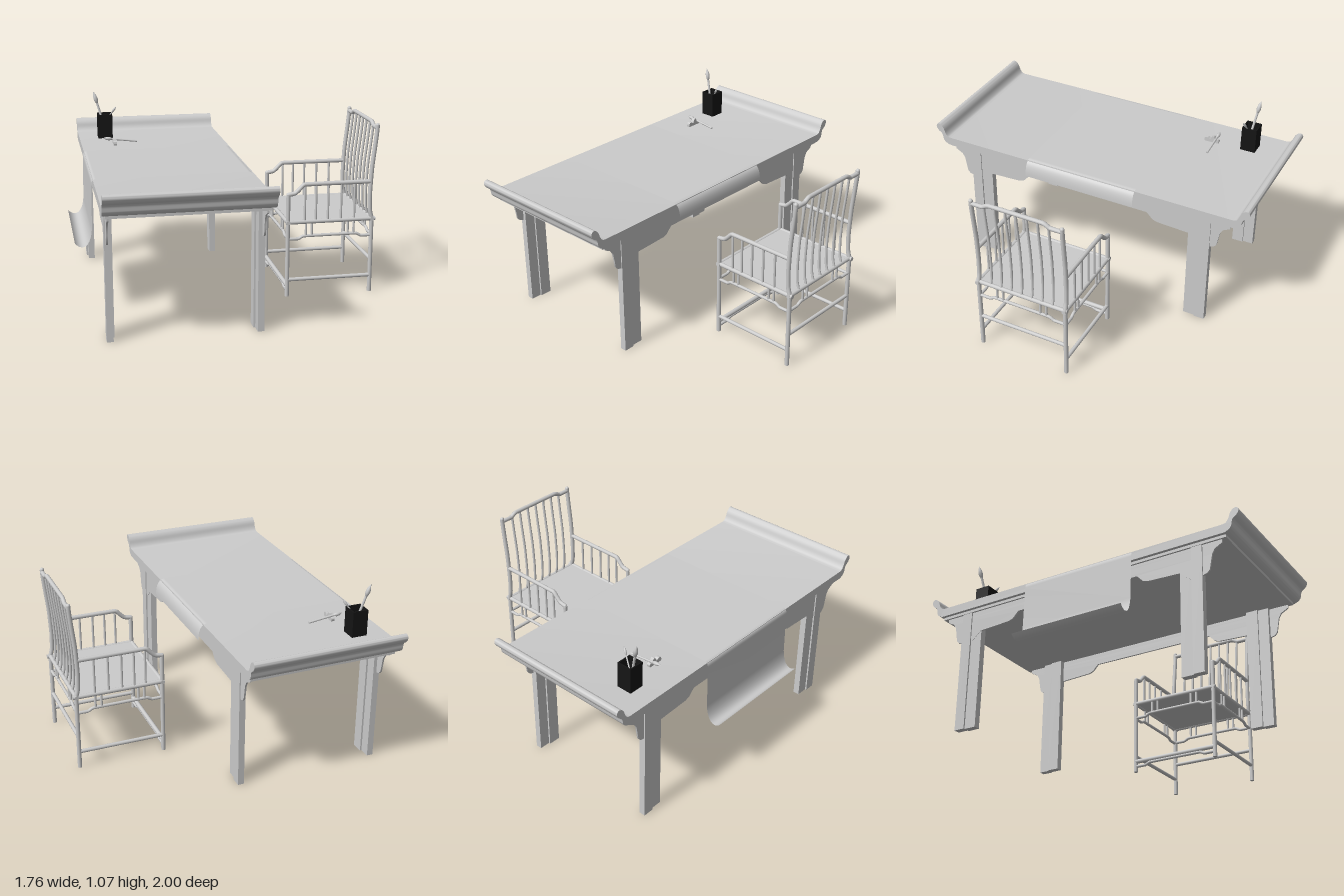
import * as THREE from 'three';
import { toCreasedNormals } from 'three/addons/utils/BufferGeometryUtils.js';

const grey = new THREE.MeshStandardMaterial({ color: 0xcccccc });
const greySheet = new THREE.MeshStandardMaterial({ color: 0xcccccc, side: THREE.DoubleSide });
const black = new THREE.MeshStandardMaterial({ color: 0x151515 });
const V = (x, y, z) => new THREE.Vector3(x, y, z);

function add(parent, name, geometry, material = grey) {
  const mesh = new THREE.Mesh(geometry, material);
  mesh.name = name;
  parent.add(mesh);
  return mesh;
}

// Box given by its min and max on each axis
function box(parent, name, x0, x1, y0, y1, z0, z1, material) {
  const g = new THREE.BoxGeometry(x1 - x0, y1 - y0, z1 - z0);
  g.translate((x0 + x1) / 2, (y0 + y1) / 2, (z0 + z1) / 2);
  return add(parent, name, g, material);
}

// Shape drawn in (z, y), extruded from x0 to x1
function slab(parent, name, shape, x0, x1) {
  let g = new THREE.ExtrudeGeometry(shape, { depth: x1 - x0, bevelEnabled: false, curveSegments: 8 });
  g.rotateY(-Math.PI / 2).translate(x1, 0, 0);
  return add(parent, name, toCreasedNormals(g, 0.7));
}

// Straight round bar, optionally tapered
function bar(parent, name, a, b, r0, r1 = r0) {
  const dir = b.clone().sub(a);
  const g = new THREE.CylinderGeometry(r1, r0, dir.length(), 12);
  g.applyQuaternion(new THREE.Quaternion().setFromUnitVectors(V(0, 1, 0), dir.normalize()));
  const c = a.clone().add(b).multiplyScalar(0.5);
  return add(parent, name, g.translate(c.x, c.y, c.z));
}

// Bent round bar with rounded ends
function bent(parent, name, pts, r, tension = 0.3) {
  const curve = new THREE.CatmullRomCurve3(pts, false, 'catmullrom', tension);
  const group = new THREE.Group();
  group.name = name;
  add(group, name + 'Tube', new THREE.TubeGeometry(curve, 48, r, 10));
  for (const p of [pts[0], pts[pts.length - 1]])
    add(group, name + 'End', new THREE.SphereGeometry(r, 10, 8).translate(p.x, p.y, p.z));
  parent.add(group);
}

function createTable() {
  const table = new THREE.Group();
  table.name = 'table';

  // Top with upturned scrolled ends
  const inner = [[0.905, 0.78], [0.925, 0.785], [0.94, 0.805], [0.95, 0.833], [0.965, 0.852], [0.983, 0.859],
    [0.997, 0.85], [0.998, 0.832], [0.985, 0.812], [0.966, 0.798], [0.959, 0.78], [0.955, 0.758], [0.942, 0.742], [0.918, 0.73]];
  const lip = new THREE.SplineCurve(inner.map(p => new THREE.Vector2(...p))).getPoints(40);
  const outline = [...lip, ...lip.map(p => new THREE.Vector2(-p.x, p.y)).reverse()];
  slab(table, 'tableTop', new THREE.Shape(outline), -0.773, 0.116);
  box(table, 'underTopPanel', -0.755, 0.097, 0.714, 0.732, -0.915, 0.915);

  // Long aprons with shaped brackets around the legs
  const half = [[0.89, 0.716], [0.888, 0.695], [0.87, 0.685], [0.845, 0.672], [0.83, 0.645], [0.822, 0.6],
    [0.815, 0.56], [0.8, 0.543], [0.77, 0.535], [0.7, 0.535], [0.645, 0.585], [0.45, 0.594],
    [0.42, 0.605], [0.402, 0.625], [0.385, 0.642]];
  const apron = new THREE.Shape([...half, ...half.map(([z, y]) => [-z, y]).reverse()].map(p => new THREE.Vector2(...p)));
  slab(table, 'leftApron', apron, 0.078, 0.088);
  slab(table, 'rightApron', apron, -0.745, -0.735);

  // Legs, each of two stepped halves
  for (const sx of [-1, 1]) for (const sz of [-1, 1]) {
    const leg = new THREE.Group();
    leg.name = 'tableLeg';
    const part = (a, b, c, d) => {
      const xs = [a, b].map(x => -0.329 + sx * (0.329 + x)).sort((p, q) => p - q);
      const zs = [c * sz, d * sz].sort((p, q) => p - q);
      box(leg, 'legHalf', xs[0], xs[1], 0, 0.716, zs[0], zs[1]);
    };
    part(0.048, 0.085, 0.642, 0.712);
    part(0.058, 0.094, 0.712, 0.775);
    table.add(leg);
  }

  // Cloth runner: thin sheet draped over both long sides
  const path = new THREE.Path();
  path.moveTo(-0.88, 0.425);
  path.bezierCurveTo(-0.85, 0.385, -0.795, 0.385, -0.785, 0.5);
  path.lineTo(-0.78, 0.75);
  path.quadraticCurveTo(-0.78, 0.784, -0.755, 0.784);
  path.lineTo(0.09, 0.784);
  path.quadraticCurveTo(0.143, 0.784, 0.145, 0.69);
  const pts = path.getPoints(12);
  const g = new THREE.PlaneGeometry(1, 1, pts.length - 1, 1);
  const pos = g.attributes.position;
  for (let i = 0; i < pos.count; i++) {
    const p = pts[i % pts.length];
    pos.setXYZ(i, p.x, p.y, i < pts.length ? -0.318 : 0.371);
  }
  g.computeVertexNormals();
  add(table, 'runner', g, greySheet);
  return table;
}

// Writing brush from handle end to tip
function brush(parent, name, tail, tip, r) {
  const at = t => tail.clone().lerp(tip, t);
  bar(parent, name + 'Handle', tail, at(0.75), r);
  const len = tail.distanceTo(tip) * 0.27;
  const profile = [[0, 0], [r, 0], [r * 1.9, len * 0.3], [r * 1.6, len * 0.6], [0, len]].map(p => new THREE.Vector2(...p));
  const g = new THREE.LatheGeometry(profile, 12);
  g.applyQuaternion(new THREE.Quaternion().setFromUnitVectors(V(0, 1, 0), tip.clone().sub(tail).normalize()));
  const c = at(0.73);
  add(parent, name + 'Head', g.translate(c.x, c.y, c.z));
}

function createDeskItems() {
  const items = new THREE.Group();
  items.name = 'deskItems';
  // Square brush pot, open at the top
  const [x0, x1, z0, z1, w] = [-0.655, -0.565, -0.776, -0.686, 0.007];
  box(items, 'potFloor', x0, x1, 0.78, 0.79, z0, z1, black);
  box(items, 'potWall', x0, x0 + w, 0.78, 0.93, z0, z1, black);
  box(items, 'potWall', x1 - w, x1, 0.78, 0.93, z0, z1, black);
  box(items, 'potWall', x0, x1, 0.78, 0.93, z0, z0 + w, black);
  box(items, 'potWall', x0, x1, 0.78, 0.93, z1 - w, z1, black);
  brush(items, 'tallBrush', V(-0.6, 0.8, -0.715), V(-0.675, 1.07, -0.752), 0.007);
  brush(items, 'smallBrush', V(-0.64, 0.83, -0.745), V(-0.537, 0.98, -0.698), 0.004);

  // Peaked brush rest with a brush lying on it
  const rest = new THREE.Shape();
  rest.moveTo(-0.548, 0.78);
  rest.splineThru([[-0.55, 0.795], [-0.54, 0.803], [-0.53, 0.797], [-0.523, 0.815], [-0.513, 0.822], [-0.503, 0.812],
    [-0.495, 0.798], [-0.482, 0.806], [-0.465, 0.804], [-0.46, 0.79], [-0.462, 0.78]].map(p => new THREE.Vector2(...p)));
  slab(items, 'brushRest', rest, -0.58, -0.56);
  brush(items, 'lyingBrush', V(-0.43, 0.788, -0.53), V(-0.64, 0.814, -0.53), 0.006);
  return items;
}

function createChair() {
  const chair = new THREE.Group();
  chair.name = 'chair';
  const [xf, xb, zs, r] = [0.345, 0.847, 0.27, 0.0125];
  // Back leans along this curve
  const lean = [[0.847, 0.45], [0.835, 0.5], [0.832, 0.6], [0.839, 0.75], [0.853, 0.88], [0.862, 0.97]];

  for (const s of [-1, 1]) {
    const z = s * zs;
    bar(chair, 'frontLeg', V(xf, 0, z), V(xf, 0.61, z), r);
    bar(chair, 'backLeg', V(xb, 0, z), V(xb, 0.45, z), r);
    bent(chair, 'backPost', [...lean.map(([x, y]) => V(x, y, z)), V(0.863, 0.998, z)], r);
    bent(chair, 'armRail', [V(xf, 0.612, z), V(0.385, 0.62, z), V(0.41, 0.642, z), V(0.435, 0.667, z),
      V(0.47, 0.67, z), V(0.83, 0.67, z)], r);
    for (const x of [0.444, 0.51, 0.582, 0.66, 0.74])
      bar(chair, 'armSpindle', V(x, 0.45, z), V(x, 0.67, z), 0.007);
    bar(chair, 'sideSeatRail', V(0.333, 0.447, z), V(0.867, 0.447, z), r);
    bar(chair, 'sideStretcher', V(xf, 0.1, z), V(xb, 0.1, z), 0.011);
  }

  // Seat panel and its cross rails
  box(chair, 'seat', xf, xb, 0.442, 0.454, -zs, zs);
  for (const x of [xf, xb]) bar(chair, 'crossSeatRail', V(x, 0.447, -0.284), V(x, 0.447, 0.284), r);

  // Humped rails with paired struts on all four sides
  const humped = (a, b, y, rise, struts) => {
    const at = (t, h) => a.clone().lerp(b, t).setY(h);
    bent(chair, 'humpedRail', [at(0, y), at(0.13, y), at(0.19, y + rise), at(0.81, y + rise), at(0.87, y), at(1, y)], 0.009, 0.1);
    if (struts) for (const t of [0.215, 0.285, 0.715, 0.785])
      bar(chair, 'strut', at(t, y + rise), at(t, 0.447), 0.007);
  };
  for (const s of [-1, 1]) humped(V(xf, 0, s * zs), V(xb, 0, s * zs), 0.347, 0.015, true);
  for (const x of [xf, xb]) humped(V(x, 0, -zs), V(x, 0, zs), 0.352, 0.015, true);

  // Front footrest with a low rail beneath, and a higher back stretcher
  bar(chair, 'footrest', V(xf, 0.066, -zs), V(xf, 0.066, zs), 0.013);
  humped(V(xf, 0, -zs), V(xf, 0, zs), 0.035, 0.013, false);
  bar(chair, 'backStretcher', V(xb, 0.2, -zs), V(xb, 0.2, zs), 0.011);

  // Stepped top rail and curved back spindles
  const topX = 0.863;
  bent(chair, 'topRail', [[-0.27, 0.983], [-0.2, 0.983], [-0.16, 1.002], [0.16, 1.002], [0.2, 0.983], [0.27, 0.983]]
    .map(([z, y]) => V(topX, y, z)), r, 0.1);
  for (let i = -3; i <= 3; i++) {
    const z = i * 0.064;
    const top = V(topX, Math.abs(i) === 3 ? 0.985 : 1.0, z);
    bent(chair, 'backSpindle', [...lean.map(([x, y]) => V(x, y, z)), top], 0.0075);
  }
  return chair;
}

export function createModel() {
  const model = new THREE.Group();
  model.name = 'writingTableAndChair';
  model.add(createTable(), createDeskItems(), createChair());
  return model;
}
